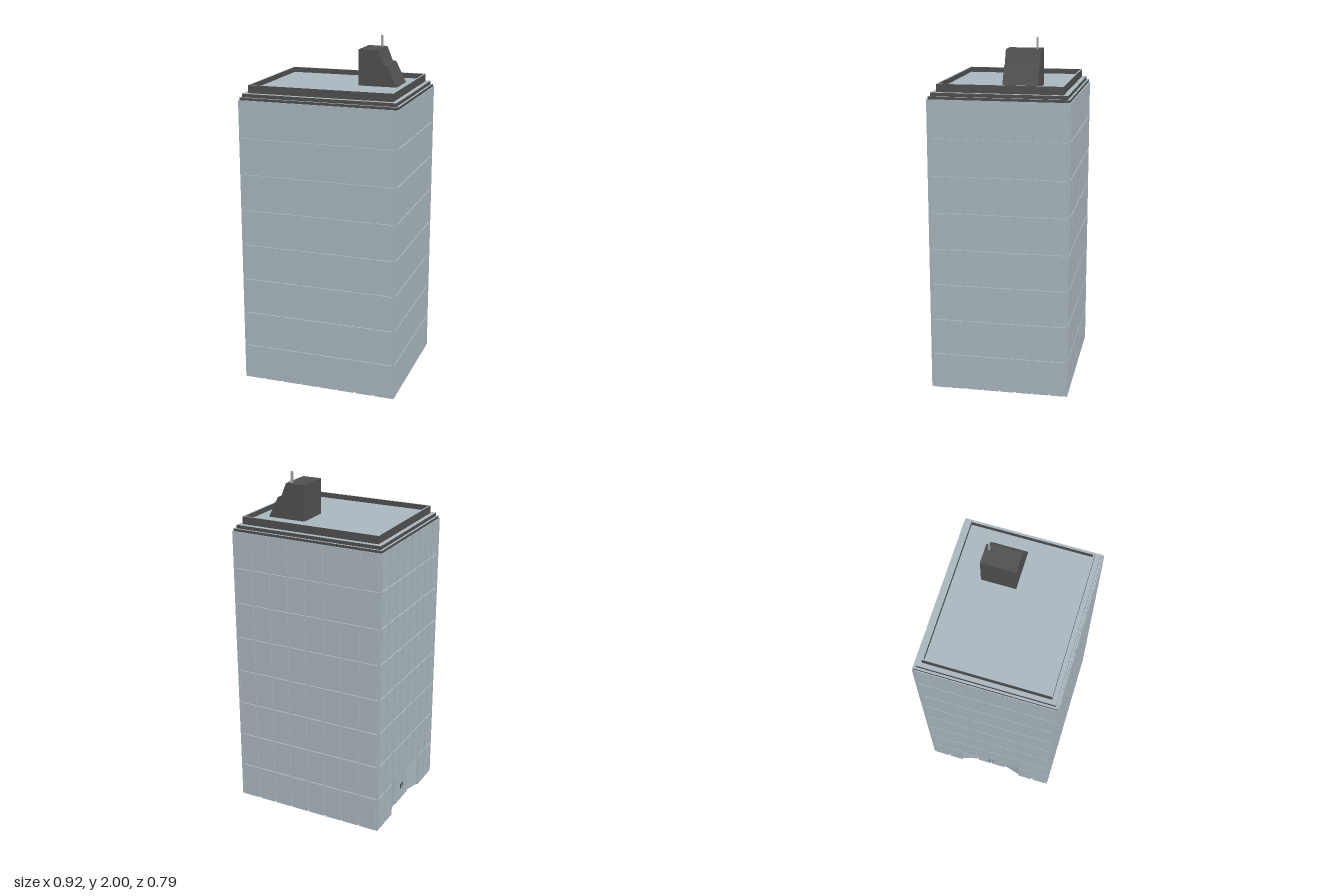
import * as THREE from 'three';
import { mergeGeometries } from 'three/addons/utils/BufferGeometryUtils.js';

const mat = (name, color) => {
  const m = new THREE.MeshStandardMaterial({ color });
  m.name = name;
  return m;
};

export function createModel() {
  const group = new THREE.Group();
  const glass = mat('pale blue glass', 0xa9b6be);
  const dark = mat('dark grey', 0x505050);
  const steel = mat('light steel', 0xa4a8aa);
  const capped = [dark, dark, glass, dark, dark, dark]; // pale top, dark sides

  const add = (name, geometry, material) => {
    const mesh = new THREE.Mesh(geometry, material);
    mesh.name = name;
    group.add(mesh);
    return mesh;
  };
  // Box given by its lower and upper corners
  const box = (x0, x1, y0, y1, z0, z1) =>
    new THREE.BoxGeometry(x1 - x0, y1 - y0, z1 - z0)
      .translate((x0 + x1) / 2, (y0 + y1) / 2, (z0 + z1) / 2);

  const HX = 0.46, HZ = 0.395, T = 0.01, FLOOR = 0.21, TOP = 1.68;
  const CX = HX - T, CZ = HZ - T;

  // Ground floor core with a shallow entrance recess in the -x side
  const plan = new THREE.Shape();
  [[-CX, -CZ], [CX, -CZ], [CX, CZ], [-CX, CZ], [-CX, 0.19], [-CX + 0.025, 0.1],
    [-CX + 0.025, -0.1], [-CX, -0.19]].forEach(([x, z], i) =>
    i ? plan.lineTo(x, -z) : plan.moveTo(x, -z));
  add('groundFloorCore',
    new THREE.ExtrudeGeometry(plan, { depth: FLOOR, bevelEnabled: false }).rotateX(-Math.PI / 2), glass);
  add('towerCore', box(-CX, CX, FLOOR, TOP, -CZ, CZ), glass);

  // Raised facade panels, eight columns by eight storeys on every side
  const panels = [];
  const cols = 8, gap = 0.005;
  for (let row = 0; row < 8; row++) {
    const y0 = row === 0 ? 0 : row * FLOOR + gap;
    const y1 = row === 7 ? TOP : (row + 1) * FLOOR - gap;
    for (let c = 0; c < cols; c++) {
      const px = (2 * CX) / cols, pz = (2 * CZ) / cols;
      const x0 = -CX + c * px + gap, x1 = x0 + px - 2 * gap;
      const z0 = -CZ + c * pz + gap, z1 = z0 + pz - 2 * gap;
      panels.push(box(x0, x1, y0, y1, CZ, HZ), box(x0, x1, y0, y1, -HZ, -CZ));
      panels.push(box(CX, HX, y0, y1, z0, z1));
      const entrance = row === 0 && c >= 2 && c <= 5;
      if (!entrance) panels.push(box(-HX, -CX, y0, y1, z0, z1));
    }
  }
  add('facadePanels', mergeGeometries(panels), glass);

  // Corner posts
  const posts = [];
  for (const sx of [-1, 1]) for (const sz of [-1, 1]) {
    posts.push(new THREE.BoxGeometry(T, TOP, T)
      .translate(sx * (HX - T / 2), TOP / 2, sz * (HZ - T / 2)));
  }
  add('cornerPosts', mergeGeometries(posts), glass);

  // Double entrance door with handles
  for (const s of [-1, 1]) {
    add('doorLeaf', new THREE.BoxGeometry(0.008, 0.18, 0.085)
      .translate(-CX + 0.022, 0.09, s * 0.046), glass);
    add('doorHandle', new THREE.BoxGeometry(0.006, 0.03, 0.005)
      .translate(-CX + 0.016, 0.09, s * 0.012), dark);
  }

  // Stepped cornice
  add('lowerCornice', box(-0.455, 0.455, 1.68, 1.695, -0.388, 0.388), capped);
  add('upperCornice', box(-0.443, 0.443, 1.695, 1.715, -0.376, 0.376), capped);

  // Roof deck and parapet
  add('roofDeck', box(-0.409, 0.409, 1.715, 1.73, -0.34, 0.34), glass);
  for (const s of [-1, 1]) {
    const px = s * 0.4135, pz = s * 0.3445;
    add('sideParapet', box(px - 0.0045, px + 0.0045, 1.715, 1.76, -0.349, 0.349), capped);
    add('parapet', box(-0.409, 0.409, 1.715, 1.76, pz - 0.0045, pz + 0.0045), capped);
  }

  // Stair house with a stepped, sloping side
  const profile = new THREE.Shape([[0.112, 1.73], [0.34, 1.73], [0.28, 1.85], [0.258, 1.855],
    [0.226, 1.935], [0.112, 1.935]].map(([x, y]) => new THREE.Vector2(x, y)));
  add('stairHouse',
    new THREE.ExtrudeGeometry(profile, { depth: 0.195, bevelEnabled: false }).translate(0, 0, -0.195), dark);
  add('antenna', box(0.193, 0.207, 1.93, 2, -0.175, -0.168), steel);

  return group;
}
